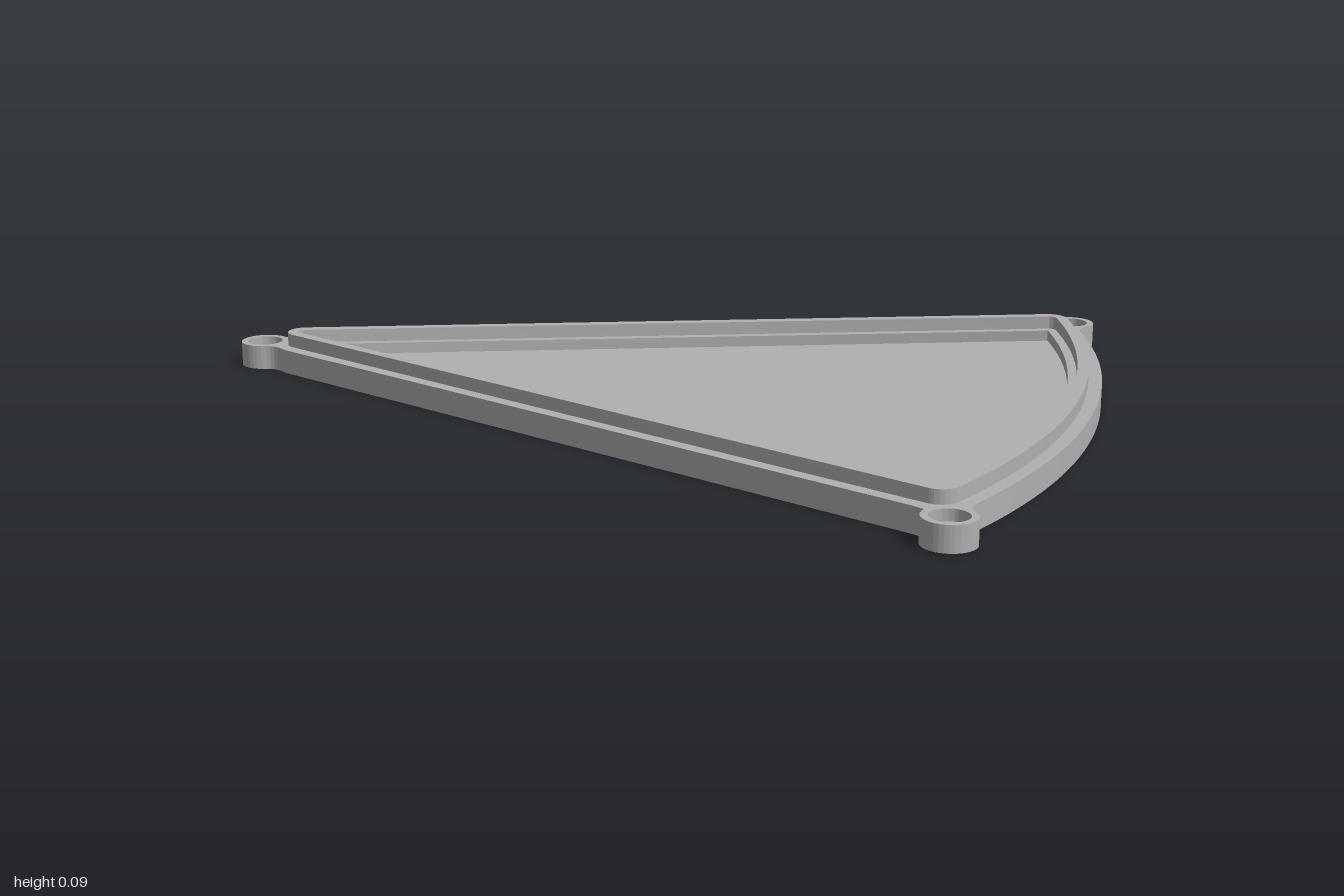
import * as THREE from 'three';
import { toCreasedNormals } from 'three/addons/utils/BufferGeometryUtils.js';

const HALF = Math.PI / 8;      // half angle of the wedge
const CX = -0.967;             // centre of the curved edge
const RADIUS = 1.967;          // radius of the curved edge
const MARGIN = 0.022;          // straight edges lie this far outside the centre rays
const BOSSES = [[-0.945, 0], [0.84, 0.775], [0.84, -0.775]];
const BOSS_R = 0.055, HOLE_R = 0.04;
const rad = THREE.MathUtils.degToRad;

// Wedge outline inset from the plate edge, with rounded corners
function sector(path, inset, round) {
  const d = inset + round;
  const h = MARGIN - d, R = RADIUS - d;
  const t = HALF + Math.asin(h / R);
  const n = HALF + Math.PI / 2;
  const cx = CX + R * Math.cos(t), cy = R * Math.sin(t);
  path.absarc(CX - h / Math.sin(HALF), 0, round, n, 2 * Math.PI - n, false);
  path.absarc(cx, -cy, round, -n, -t, false);
  path.absarc(CX, 0, R + round, -t, t, false);
  path.absarc(cx, cy, round, t, n, false);
  path.closePath();
  return path;
}

// Plate outline: wedge with a round lug blended into each corner
function plateOutline() {
  const s = new THREE.Shape();
  const edge = x => (x - CX) * Math.tan(HALF) + MARGIN / Math.cos(HALF);
  const onBoss = (i, deg) => [
    BOSSES[i][0] + BOSS_R * Math.cos(rad(deg)),
    BOSSES[i][1] + BOSS_R * Math.sin(rad(deg))];
  const a = rad(20.3);
  const ax = CX + RADIUS * Math.cos(a), ay = RADIUS * Math.sin(a);
  // apex lug
  s.absarc(...BOSSES[0], BOSS_R, rad(60), rad(300), false);
  s.quadraticCurveTo(-0.895, -0.04, -0.86, -edge(-0.86));
  // lower lug
  s.lineTo(0.74, -edge(0.74));
  s.quadraticCurveTo(0.78, -edge(0.78), ...onBoss(2, 160));
  s.absarc(...BOSSES[2], BOSS_R, rad(160), rad(385), false);
  s.quadraticCurveTo(0.863, -0.72, ax, -ay);
  // curved edge
  s.absarc(CX, 0, RADIUS, -a, a, false);
  // upper lug
  s.quadraticCurveTo(0.863, 0.72, ...onBoss(1, -25));
  s.absarc(...BOSSES[1], BOSS_R, rad(-25), rad(200), false);
  s.quadraticCurveTo(0.78, edge(0.78), 0.74, edge(0.74));
  s.lineTo(-0.86, edge(-0.86));
  s.quadraticCurveTo(-0.895, 0.04, ...onBoss(0, 60));
  return s;
}

export function createModel() {
  const group = new THREE.Group();
  const grey = new THREE.MeshStandardMaterial({ color: 0xb0b0b0 });
  grey.name = 'grey';

  // Extrude a flat shape upward between two heights
  function layer(name, shape, y0, y1) {
    const flat = new THREE.ExtrudeGeometry(shape, { depth: y1 - y0, bevelEnabled: false, curveSegments: 32 });
    flat.rotateX(-Math.PI / 2);
    const mesh = new THREE.Mesh(toCreasedNormals(flat, rad(30)), grey);
    mesh.name = name;
    mesh.position.y = y0;
    group.add(mesh);
  }

  // Solid floor
  layer('floor', plateOutline(), 0, 0.03);

  // Frame around the pocket, with a blind hole in each lug
  const frame = plateOutline();
  frame.holes.push(sector(new THREE.Path(), 0.075, 0.001));
  for (const [x, y] of BOSSES) {
    frame.holes.push(new THREE.Path().absarc(x, y, HOLE_R, 0, Math.PI * 2, false));
  }
  layer('frame', frame, 0.03, 0.055);

  // Thin raised rim, leaving a ledge inside it
  const rim = sector(new THREE.Shape(), 0.03, 0.041);
  rim.holes.push(sector(new THREE.Path(), 0.055, 0.016));
  layer('rim', rim, 0.055, 0.085);

  return group;
}
